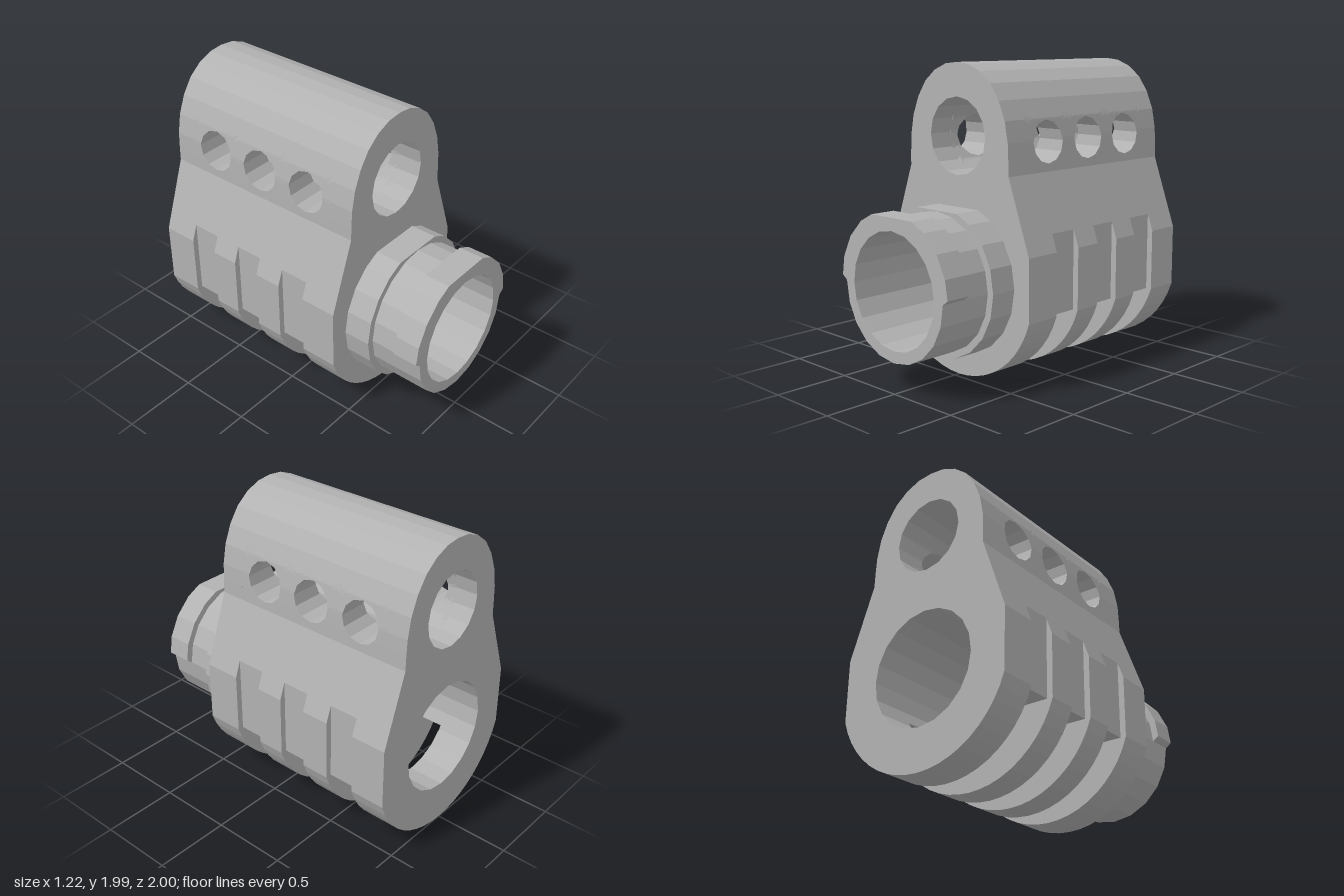
import * as THREE from 'three';

const steel = new THREE.MeshStandardMaterial({ color: 0xb2b2b2, side: THREE.DoubleSide });
steel.name = 'grey steel';

const BACK = -1, FRONT = 0.46;
const SLOTS = [[-0.76, -0.56], [-0.37, -0.18], [0.01, 0.21]];
const SLOT_TOP = 0.446, SLOT_X = 0.57;
const PORTS = [-0.66, -0.28, 0.1], PORT_Y = 1.505, PORT_R = 0.135;
const CELL_Z = 0.19, CELL_Y = 0.185;
const Y0 = PORT_Y - CELL_Y, Y1 = PORT_Y + CELL_Y;

// Points on an arc about (0, cy), angles in degrees
function arc(cy, r, a0, a1, n) {
  return Array.from({ length: n + 1 }, (_, i) => {
    const a = THREE.MathUtils.degToRad(a0 + (a1 - a0) * i / n);
    return [r * Math.cos(a), cy + r * Math.sin(a)];
  });
}

// Right-hand half profiles, rising in y
const outer = [
  ...arc(0.64, 0.64, -90, -17.65, 10),
  [0.61, 0.85], [0.442, 1.32], [0.44, 1.41], [0.435, 1.52], [0.41, 1.65],
  [0.36, 1.77], [0.29, 1.87], [0.2, 1.94], [0.1, 1.98], [0, 1.99],
];
const mainBore = arc(0.64, 0.37, -90, 90, 10);
const topBore = arc(1.535, 0.245, -90, 90, 8);

// Profile x at a height, and the part of a profile between two heights
function xAt(profile, y) {
  for (let i = 1; i < profile.length; i++) {
    const [xa, ya] = profile[i - 1], [xb, yb] = profile[i];
    if (y <= yb) return xa + (xb - xa) * (y - ya) / (yb - ya);
  }
  return profile[profile.length - 1][0];
}
const between = (profile, a, b) => [
  [xAt(profile, a), a],
  ...profile.filter(p => p[1] > a + 1e-4 && p[1] < b - 1e-4),
  [xAt(profile, b), b],
];
const slotTopY = 0.96;

// Grid surface with flat faces
function grid(nu, nv, f) {
  const pos = [];
  for (let i = 0; i < nu; i++) for (let j = 0; j < nv; j++) {
    const a = f(i, j), b = f(i + 1, j), c = f(i + 1, j + 1), d = f(i, j + 1);
    pos.push(...a, ...b, ...c, ...a, ...c, ...d);
  }
  const g = new THREE.BufferGeometry();
  g.setAttribute('position', new THREE.Float32BufferAttribute(pos, 3));
  g.computeVertexNormals();
  return g;
}
const toShape = pts => new THREE.Shape(pts.map(p => new THREE.Vector2(p[0], p[1])));
const flip = pts => pts.map(([x, y]) => [-x, y]);
const loop = half => [...half, ...flip(half).reverse().filter(p => Math.abs(p[0]) > 1e-6)];

export function createModel() {
  const model = new THREE.Group();
  const add = (parent, name, geometry) => {
    const m = new THREE.Mesh(geometry, steel);
    m.name = name;
    parent.add(m);
    return m;
  };
  const wall = (parent, name, pts, z0, z1) => add(parent, name,
    grid(pts.length - 1, 1, (i, j) => [...pts[i], j ? z1 : z0]));
  const plate = (parent, name, pts, z, holes = []) => {
    const s = toShape(pts);
    s.holes = holes.map(toShape);
    add(parent, name, new THREE.ShapeGeometry(s)).position.z = z;
  };

  // End faces with both bores
  const body = new THREE.Group();
  body.name = 'body';
  model.add(body);
  for (const z of [BACK, FRONT])
    plate(body, 'endFace', loop(outer), z, [loop(mainBore), loop(topBore)]);

  // Both halves of the body, mirrored in x
  for (const s of [1, -1]) {
    const half = new THREE.Group();
    half.name = s > 0 ? 'leftHalf' : 'rightHalf';
    body.add(half);
    const m = pts => pts.map(([x, y]) => [s * x, y]);

    // Full-length walls
    wall(half, 'flank', m(between(outer, slotTopY, Y0)), BACK, FRONT);
    wall(half, 'roof', m(between(outer, Y1, 1.99)), BACK, FRONT);
    wall(half, 'mainBoreTop', m(between(mainBore, SLOT_TOP, 1.01)), BACK, FRONT);
    wall(half, 'topBoreFloor', m(between(topBore, 1.29, Y0)), BACK, FRONT);
    wall(half, 'topBoreRoof', m(between(topBore, Y1, 1.78)), BACK, FRONT);

    // Ribs between the slots
    const edges = [BACK, ...SLOTS.flat(), FRONT];
    for (let i = 0; i < edges.length; i += 2) {
      wall(half, 'rib', m(between(outer, 0, slotTopY)), edges[i], edges[i + 1]);
      wall(half, 'ribBore', m(between(mainBore, 0.27, SLOT_TOP)), edges[i], edges[i + 1]);
    }

    // Slots: recessed sides, open bottoms, and the rib faces
    const boreEdge = xAt(mainBore, SLOT_TOP);
    const ribFace = [
      ...between(outer, 0, slotTopY), [SLOT_X, slotTopY], [SLOT_X, SLOT_TOP],
      ...between(mainBore, 0.27, SLOT_TOP).reverse(),
    ];
    for (const [a, b] of SLOTS) {
      wall(half, 'slotSide', m([[boreEdge, SLOT_TOP], [SLOT_X, SLOT_TOP], [SLOT_X, slotTopY]]), a, b);
      for (const z of [a, b]) plate(half, 'ribFace', m(ribFace), z);
    }

    // Side ports through the upper wall
    const N = 48, K = 6;
    const port = (c, i) => {
      const k = Math.floor(i / 4), t = (i % 4) / 4;
      const p = n => [Math.cos(n * Math.PI / 6) * PORT_R, Math.sin(n * Math.PI / 6) * PORT_R];
      const [u, v] = [p(k), p(k + 1)];
      return [c + u[0] + (v[0] - u[0]) * t, PORT_Y + u[1] + (v[1] - u[1]) * t];
    };
    for (const [name, profile] of [['portWall', outer], ['portBoreWall', topBore]]) {
      for (const c of PORTS) add(half, name, grid(N, K, (i, j) => {
        const a = i * 2 * Math.PI / N, ca = Math.cos(a), sa = Math.sin(a);
        const q = 1 / Math.max(Math.abs(ca), Math.abs(sa)), t = j / K;
        const [pz, py] = port(c, i);
        const z = pz + (c + ca * q * CELL_Z - pz) * t;
        const y = py + (PORT_Y + sa * q * CELL_Y - py) * t;
        return [s * xAt(profile, y), y, z];
      }));
      const strip = m(between(profile, Y0, Y1));
      wall(half, name + 'End', strip, BACK, PORTS[0] - CELL_Z);
      wall(half, name + 'End', strip, PORTS[2] + CELL_Z, FRONT);
    }
    for (const c of PORTS) add(half, 'port', grid(N, 1, (i, j) => {
      const [z, y] = port(c, i);
      return [s * xAt(j ? topBore : outer, y), y, z];
    }));
  }

  // Front collar: base ring, neck and half lug ring with a flat top
  const collar = new THREE.Group();
  collar.name = 'collar';
  model.add(collar);
  const big = [...arc(0.64, 0.49, -90, 54, 8), [0.182, 1.09]];
  const small = arc(0.64, 0.445, -90, 90, 10);
  const lug = [
    ...arc(0.64, 0.445, -90, 0, 5), [0.485, 0.67],
    ...arc(0.64, 0.49, 18, 54, 2), [0.182, 1.09],
  ];
  for (const [name, half, z0, z1] of [
    ['collarBase', big, FRONT, 0.64], ['collarNeck', small, 0.64, 0.83], ['collarLug', lug, 0.83, 1],
  ]) {
    const shape = toShape(loop(half));
    shape.holes = [toShape(loop(mainBore))];
    add(collar, name, new THREE.ExtrudeGeometry(shape, { depth: z1 - z0, bevelEnabled: false })).position.z = z0;
  }
  return model;
}
